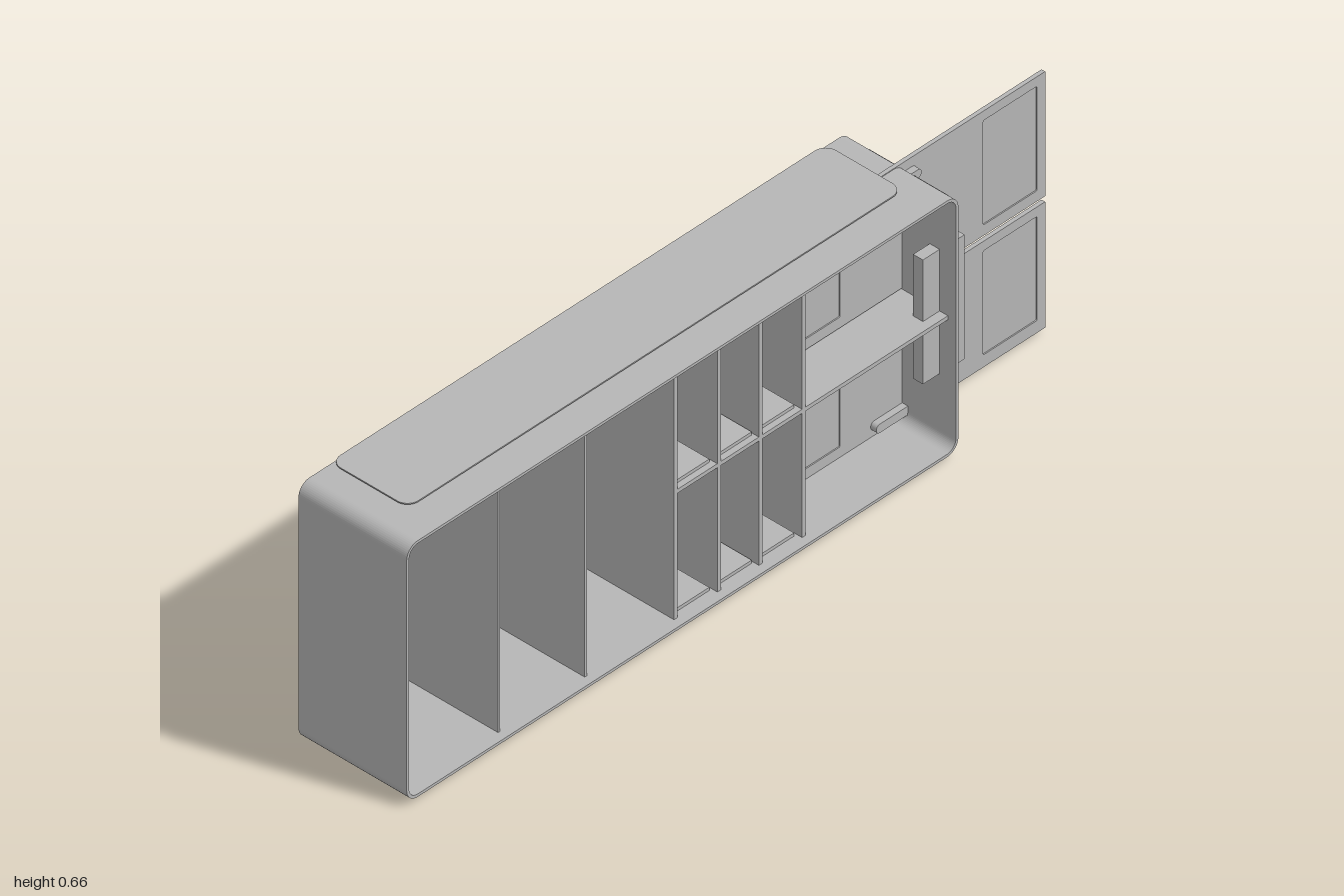
import * as THREE from 'three';

const grey = new THREE.MeshStandardMaterial({ color: 0xb6b6b6 });
grey.name = 'plain grey';

// Rounded rectangle outline
function roundedRect(Path, a0, a1, b0, b1, r) {
  const p = new Path();
  p.moveTo(a0 + r, b0);
  p.lineTo(a1 - r, b0);
  p.absarc(a1 - r, b0 + r, r, -Math.PI / 2, 0, false);
  p.lineTo(a1, b1 - r);
  p.absarc(a1 - r, b1 - r, r, 0, Math.PI / 2, false);
  p.lineTo(a0 + r, b1);
  p.absarc(a0 + r, b1 - r, r, Math.PI / 2, Math.PI, false);
  p.lineTo(a0, b0 + r);
  p.absarc(a0 + r, b0 + r, r, Math.PI, Math.PI * 1.5, false);
  return p;
}

export function createModel() {
  const model = new THREE.Group();
  model.name = 'compartmentCase';

  function add(name, geometry) {
    const mesh = new THREE.Mesh(geometry, grey);
    mesh.name = name;
    model.add(mesh);
    return mesh;
  }
  // Box given by its limits on each axis
  function box(name, x0, x1, y0, y1, z0, z1) {
    const g = new THREE.BoxGeometry(x1 - x0, y1 - y0, z1 - z0);
    return add(name, g.translate((x0 + x1) / 2, (y0 + y1) / 2, (z0 + z1) / 2));
  }
  // Shape drawn in (z, y), extruded along x
  function sideExtrude(name, shape, x0, x1) {
    const g = new THREE.ExtrudeGeometry(shape, { depth: x1 - x0, bevelEnabled: false, curveSegments: 6 });
    return add(name, g.rotateY(-Math.PI / 2).translate(x1, 0, 0));
  }

  // Case: rounded frame open towards +x, closed by a side wall
  const frame = roundedRect(THREE.Shape, -0.593, 1, 0.01, 0.655, 0.032);
  frame.holes.push(roundedRect(THREE.Path, -0.586, 0.993, 0.017, 0.648, 0.025));
  sideExtrude('caseFrame', frame, -0.135, 0.157);
  sideExtrude('closedSideWall', roundedRect(THREE.Shape, -0.593, 1, 0.01, 0.655, 0.032), -0.141, -0.135);

  // Thin cover plates above and below the case
  for (const [name, y] of [['topPlate', 0.66], ['bottomPlate', 0]]) {
    const g = new THREE.ExtrudeGeometry(roundedRect(THREE.Shape, -0.14, 0.075, -0.91, 0.52, 0.03),
      { depth: 0.003, bevelEnabled: false, curveSegments: 6 });
    add(name, g.rotateX(-Math.PI / 2).translate(0, y, 0));
  }

  // Full-height dividers
  for (const z of [0.71, 0.46, 0.2, 0.075, -0.045, -0.17]) {
    const t = z > 0.4 ? 0.003 : 0.005;
    box('divider', -0.136, 0.135, 0.016, 0.649, z - t, z + t);
  }
  // Middle shelf
  box('middleShelf', -0.136, 0.135, 0.33, 0.34, -0.587, 0.2);

  // Small cell liners at the floor and ceiling of each cell
  for (const z of [0.1375, 0.015, -0.1075]) {
    for (const y of [0.016, 0.322, 0.339, 0.641]) {
      box('cellLiner', -0.136, 0.12, y, y + 0.009, z - 0.05, z + 0.05);
    }
  }

  // Two sliding panels with recessed windows, passing through the back wall
  for (const [y0, y1, w0, w1] of [[0.012, 0.329, 0.043, 0.305], [0.343, 0.657, 0.37, 0.633]]) {
    const panel = roundedRect(THREE.Shape, -1, -0.21, y0, y1, 0.002);
    for (const [z0, z1] of [[-0.407, -0.236], [-0.976, -0.82]]) {
      panel.holes.push(roundedRect(THREE.Path, z0, z1, w0, w1, 0.004));
      box('panelWindow', 0.002, 0.006, w0, w1, z0, z1);
    }
    sideExtrude('slidingPanel', panel, -0.001, 0.009);
  }

  // Latch housing on the back wall with its side lip and inner bar
  box('latchHousing', -0.142, 0.115, 0.182, 0.495, -0.655, -0.59);
  sideExtrude('latchLip', roundedRect(THREE.Shape, -0.655, -0.575, 0.197, 0.47, 0.015), -0.158, -0.141);
  box('latchInnerBar', 0.085, 0.112, 0.182, 0.495, -0.588, -0.538);
  for (const y of [0.187, 0.473]) box('latchLipPin', -0.159, -0.13, y, y + 0.007, -0.64, -0.59);

  // Rounded tabs and guide pins on the back wall, mirrored top and bottom
  for (const [tab, pin] of [[0.555, 0.622], [0.035, 0.043]]) {
    const g = new THREE.ExtrudeGeometry(roundedRect(THREE.Shape, -0.11, 0.13, tab, tab + 0.07, 0.014),
      { depth: 0.012, bevelEnabled: false, curveSegments: 6 });
    add('backTab', g.translate(0, 0, -0.604));
    sideExtrude('guidePin', roundedRect(THREE.Shape, -0.625, -0.495, pin - 0.011, pin + 0.011, 0.01), 0.009, 0.025);
  }

  return model;
}
